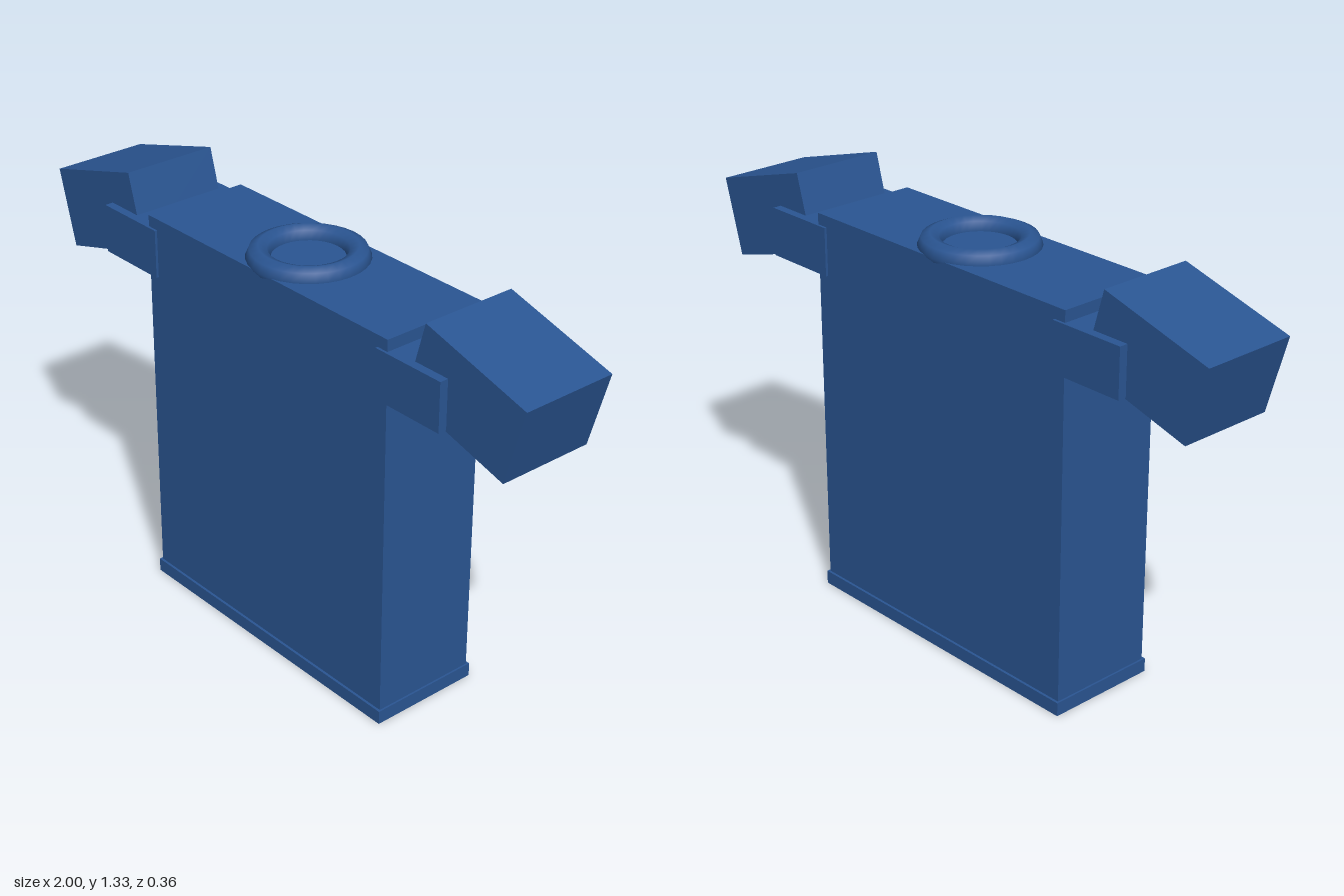
import * as THREE from 'three';

export function createModel() {
  const group = new THREE.Group();
  const cloth = new THREE.MeshStandardMaterial({ color: 0x2a5592 });

  const add = (name, geometry, x, y, z = 0) => {
    const mesh = new THREE.Mesh(geometry, cloth);
    mesh.name = name;
    mesh.position.set(x, y, z);
    group.add(mesh);
    return mesh;
  };

  // Torso of the shirt, with a slightly wider hem band
  add('torso', new THREE.BoxGeometry(1.032, 1.23, 0.344), 0, 0.625);
  add('hem', new THREE.BoxGeometry(1.044, 0.043, 0.36), 0, 0.0215);

  // Round collar, half sunk into the top
  const collar = add('collar', new THREE.TorusGeometry(0.142, 0.036, 8, 32), 0, 1.241);
  collar.rotation.x = Math.PI / 2;

  // Shoulder blocks and drooping sleeves, mirrored
  for (const [side, s] of [['left', 1], ['right', -1]]) {
    add(side + 'Shoulder', new THREE.BoxGeometry(0.245, 0.151, 0.36), s * 0.6, 1.129);
    const sleeve = add(side + 'Sleeve', new THREE.BoxGeometry(0.378, 0.244, 0.306), s * 0.784, 1.159);
    sleeve.rotation.z = -s * 0.277;
  }

  return group;
}
